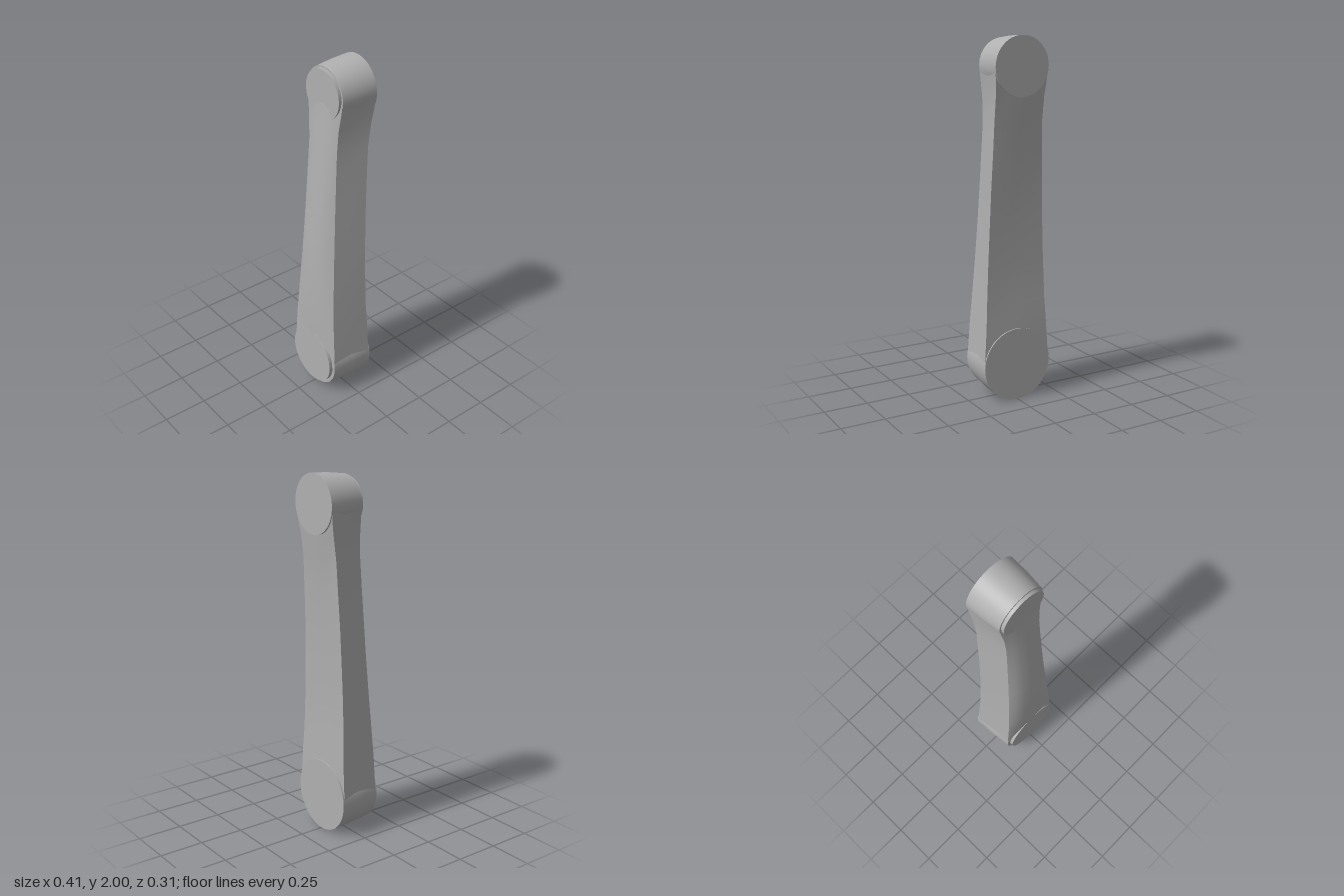
import * as THREE from 'three';
import { toCreasedNormals } from 'three/addons/utils/BufferGeometryUtils.js';

const grey = new THREE.MeshStandardMaterial({ color: 0xb0b0b0 });
grey.name = 'plain grey';

// Tapered round boss facing +z with a slightly raised front disc
function boss(name, y, backR, frontR, discR, backZ, shoulderZ, frontZ) {
  const profile = [
    [0, backZ], [backR, backZ], [backR - (backR - frontR) * 0.3, (backZ + shoulderZ) / 2],
    [frontR, shoulderZ], [discR, shoulderZ], [discR, frontZ], [0, frontZ],
  ].map(([r, h]) => new THREE.Vector2(r, h));
  const geometry = new THREE.LatheGeometry(profile, 48);
  geometry.rotateX(Math.PI / 2);
  const mesh = new THREE.Mesh(toCreasedNormals(geometry, 0.5), grey);
  mesh.name = name;
  mesh.position.y = y;
  return mesh;
}

// Curved arm lofted through cross-sections, with a crowned front
function arm() {
  // y, back half width, front half width, back edge z, back centre z, front edge z, front centre z
  const sections = [
    [0.205, 0.204, 0.186, -0.106, -0.106, 0.128, 0.150],
    [0.42, 0.190, 0.171, -0.103, -0.106, 0.124, 0.154],
    [0.56, 0.182, 0.160, -0.096, -0.095, 0.118, 0.155],
    [0.80, 0.172, 0.145, -0.094, -0.093, 0.104, 0.149],
    [1.00, 0.164, 0.135, -0.097, -0.096, 0.092, 0.137],
    [1.20, 0.157, 0.127, -0.102, -0.102, 0.081, 0.122],
    [1.40, 0.150, 0.120, -0.111, -0.115, 0.070, 0.103],
    [1.55, 0.146, 0.116, -0.118, -0.130, 0.062, 0.088],
    [1.68, 0.147, 0.122, -0.135, -0.151, 0.056, 0.075],
    [1.76, 0.153, 0.134, -0.148, -0.153, 0.051, 0.068],
    [1.84, 0.160, 0.144, -0.153, -0.153, 0.047, 0.062],
  ];
  const positions = [];
  const index = [];
  sections.forEach(([y, w, f, backZ, midZ, edgeZ, frontZ]) => {
    const half = [
      [w * 0.5, (backZ + midZ) / 2], [w, backZ], [f, edgeZ],
      [f * 0.75, edgeZ + (frontZ - edgeZ) * 0.5], [f * 0.4, edgeZ + (frontZ - edgeZ) * 0.87],
    ];
    const mirrored = half.map(([x, z]) => [-x, z]).reverse();
    const ring = [[0, midZ], ...half, [0, frontZ], ...mirrored];
    ring.forEach(([x, z]) => positions.push(x, y, z));
  });
  const n = positions.length / 3 / sections.length;
  for (let s = 0; s < sections.length - 1; s++) {
    for (let i = 0; i < n; i++) {
      const a = s * n + i;
      const b = s * n + ((i + 1) % n);
      index.push(a, a + n, b, b, a + n, b + n);
    }
  }
  const geometry = new THREE.BufferGeometry();
  geometry.setAttribute('position', new THREE.Float32BufferAttribute(positions, 3));
  geometry.setIndex(index);
  const mesh = new THREE.Mesh(toCreasedNormals(geometry, 0.5), grey);
  mesh.name = 'arm';
  return mesh;
}

export function createModel() {
  const group = new THREE.Group();
  group.name = 'linkArm';
  group.add(
    arm(),
    boss('lowerBoss', 0.205, 0.205, 0.187, 0.167, -0.113, 0.130, 0.152),
    boss('upperBoss', 1.84, 0.160, 0.144, 0.134, -0.157, 0.047, 0.065),
  );
  return group;
}
